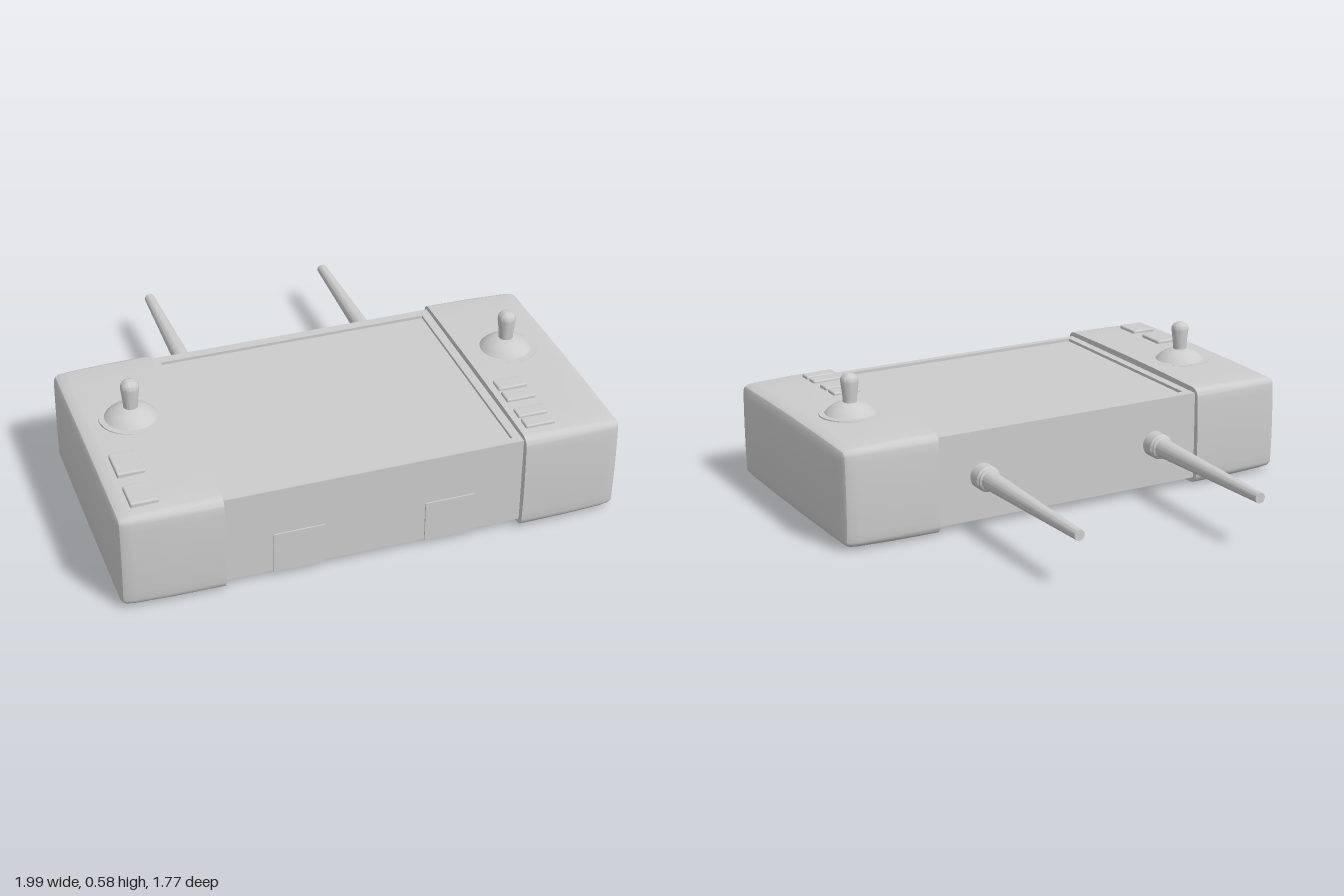
import * as THREE from 'three';
import { toCreasedNormals } from 'three/addons/utils/BufferGeometryUtils.js';
import { RoundedBoxGeometry } from 'three/addons/geometries/RoundedBoxGeometry.js';

const shellGrey = new THREE.MeshStandardMaterial({ color: 0xcccccc });
shellGrey.name = 'shellGrey';

function add(parent, name, geometry, x = 0, y = 0, z = 0) {
  const mesh = new THREE.Mesh(geometry, shellGrey);
  mesh.name = name;
  mesh.position.set(x, y, z);
  parent.add(mesh);
  return mesh;
}

function lathe(points, crease = 0.6) {
  const profile = points.map(([r, y]) => new THREE.Vector2(r, y));
  return toCreasedNormals(new THREE.LatheGeometry(profile, 40), crease);
}

// Rounded rectangle in (z, y) whose sides swell slightly outwards
function roundedRing(hz, hy, r) {
  const ring = [];
  const corners = [[1, 1], [-1, 1], [-1, -1], [1, -1]];
  const arc = 5, side = 10;
  corners.forEach(([sz, sy], i) => {
    for (let k = 0; k <= arc; k++) {
      const a = (i + k / arc) * Math.PI / 2;
      ring.push([sz * (hz - r) + r * Math.cos(a), sy * (hy - r) + r * Math.sin(a)]);
    }
    const [nz, ny] = corners[(i + 1) % 4];
    const a = (i + 1) * Math.PI / 2;
    const from = ring[ring.length - 1];
    const to = [nz * (hz - r) + r * Math.cos(a), ny * (hy - r) + r * Math.sin(a)];
    for (let k = 1; k < side; k++) {
      ring.push([0, 1].map((c) => from[c] + (to[c] - from[c]) * k / side));
    }
  });
  return ring.map(([z, y]) => [
    z * (1 - 0.012 * (y / hy) ** 2),
    y * (1 - 0.03 * (z / hz) ** 2),
  ]);
}

// Grip shell: sections along x as [x, inset], closed at both ends
function gripGeometry() {
  const sections = [[0.59, 0], [0.78, 0.002], [0.93, 0.007], [0.962, 0.011], [0.976, 0.018],
    [0.983, 0.03], [0.988, 0.06], [0.993, 0.11], [0.996, 0.16], [0.997, 0.2]];
  const positions = [], index = [];
  let n = 0;
  sections.forEach(([x, d]) => {
    const ring = roundedRing(0.525 - d, 0.21 - d, Math.max(0.035 - d, 0.005));
    n = ring.length;
    ring.forEach(([z, y]) => positions.push(x, y, z));
  });
  const last = (sections.length - 1) * n;
  const innerCentre = sections.length * n, outerCentre = innerCentre + 1;
  positions.push(0.59, 0, 0, 0.997, 0, 0);
  for (let j = 0; j < n; j++) {
    const k = (j + 1) % n;
    for (let s = 0; s < last; s += n) {
      index.push(s + j, s + n + j, s + k, s + k, s + n + j, s + n + k);
    }
    index.push(innerCentre, j, k, outerCentre, last + k, last + j);
  }
  const geometry = new THREE.BufferGeometry();
  geometry.setAttribute('position', new THREE.Float32BufferAttribute(positions, 3));
  geometry.setIndex(index);
  return toCreasedNormals(geometry, 0.5);
}

// Rectangle outline in x and -z, ready to be extruded upwards
function rectangle(Type, x0, x1, z0, z1) {
  const path = new Type();
  path.moveTo(x0, -z1);
  path.lineTo(x1, -z1);
  path.lineTo(x1, -z0);
  path.lineTo(x0, -z0);
  path.closePath();
  return path;
}

export function createModel() {
  const model = new THREE.Group();
  model.name = 'handheldController';

  // Centre body with a shallow recess for the screen
  add(model, 'centreBody', new THREE.BoxGeometry(1.2, 0.353, 0.995), 0, 0.2115, 0.3575);
  const frame = rectangle(THREE.Shape, -0.6, 0.6, -0.14, 0.855);
  frame.holes.push(rectangle(THREE.Path, -0.555, 0.555, -0.1, 0.825));
  const bezel = new THREE.ExtrudeGeometry(frame, { depth: 0.012, bevelEnabled: false });
  bezel.rotateX(-Math.PI / 2);
  add(model, 'screenBezel', bezel, 0, 0.388, 0);

  const grip = gripGeometry();

  // Thumb stick: low dome and a slightly flared stem with a rounded tip
  const dome = [];
  for (let i = 0; i <= 12; i++) {
    const a = (1 - i / 12) * 1.05;
    dome.push([0.135 * Math.sin(a), 0.336 + 0.135 * Math.cos(a)]);
  }
  const domeGeometry = lathe(dome);
  const stem = [[0.028, 0.45], [0.029, 0.49], [0.036, 0.55]];
  for (let i = 1; i <= 8; i++) {
    const a = i / 8 * Math.PI / 2;
    stem.push([0.036 * Math.cos(a), 0.555 + 0.03 * Math.sin(a)]);
  }
  const stemGeometry = lathe(stem);
  const collarGeometry = new THREE.CylinderGeometry(0.125, 0.127, 0.012, 40);

  // Antenna: stepped collar and a long taper pointing back
  const antennaGeometry = lathe([[0, 0], [0.052, 0], [0.052, 0.055], [0.046, 0.062],
    [0.046, 0.07], [0.039, 0.075], [0.021, 0.752], [0, 0.752]]);
  antennaGeometry.rotateX(-Math.PI / 2);

  for (const [side, s] of [['left', 1], ['right', -1]]) {
    const shell = add(model, side + 'Grip', grip, 0, 0.215, 0.36);
    if (s < 0) shell.rotation.y = Math.PI;

    const stick = new THREE.Group();
    stick.name = side + 'ThumbStick';
    stick.position.set(s * 0.77, 0, 0.255);
    add(stick, 'stickCollar', collarGeometry, 0, 0.418, 0);
    add(stick, 'stickDome', domeGeometry);
    add(stick, 'stickStem', stemGeometry);
    model.add(stick);

    add(model, side + 'Antenna', antennaGeometry, s * 0.395, 0.215, -0.138);

    // Thin clip wrapping the lower front edge
    add(model, side + 'ClipFront', new THREE.BoxGeometry(0.2, 0.17, 0.012), s * 0.3, 0.117, 0.855);
    add(model, side + 'ClipUnder', new THREE.BoxGeometry(0.2, 0.012, 0.2), s * 0.3, 0.037, 0.761);
  }

  // Buttons as [x, z, width, depth]
  const buttons = [
    [-0.865, 0.557, 0.108, 0.135], [-0.865, 0.75, 0.108, 0.12],
    [0.677, 0.517, 0.12, 0.065], [0.677, 0.598, 0.12, 0.065],
    [0.677, 0.713, 0.12, 0.056], [0.677, 0.783, 0.12, 0.056],
  ];
  for (const [x, z, w, d] of buttons) {
    add(model, 'button', new RoundedBoxGeometry(w, 0.04, d, 3, 0.007), x, z > 0.65 ? 0.412 : 0.415, z);
  }
  return model;
}
